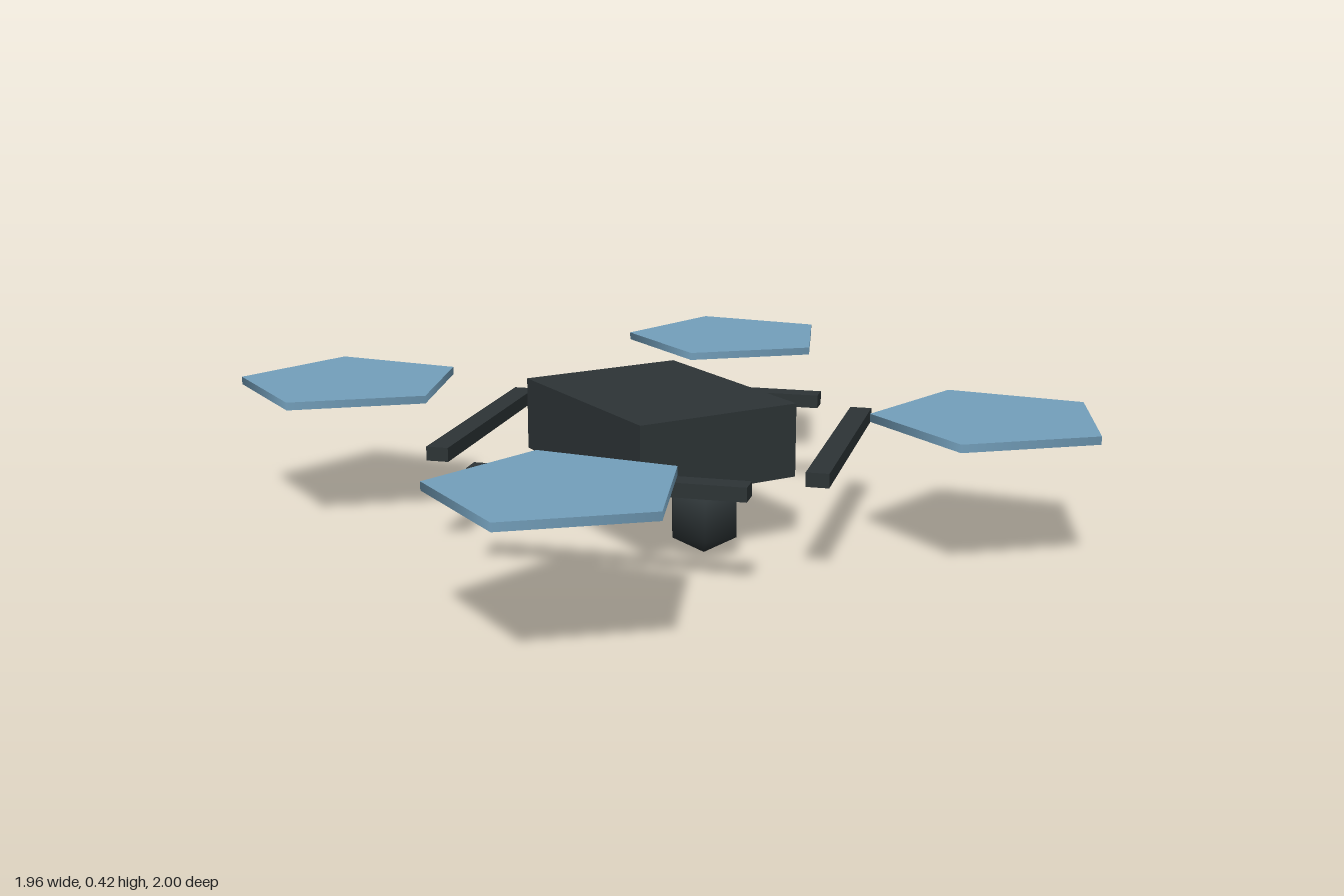
import * as THREE from 'three';

export function createModel() {
  const group = new THREE.Group();
  const charcoal = new THREE.MeshStandardMaterial({ color: 0x2d3436 });
  charcoal.name = 'charcoal';
  const paleBlue = new THREE.MeshStandardMaterial({ color: 0x74a0bc });
  paleBlue.name = 'paleBlue';

  const cx = -0.034; // the airframe sits slightly off centre
  const add = (name, geometry, material, x, y, z) => {
    const mesh = new THREE.Mesh(geometry, material);
    mesh.name = name;
    mesh.position.set(x, y, z);
    group.add(mesh);
    return mesh;
  };

  // Central body
  add('body', new THREE.BoxGeometry(0.506, 0.213, 0.675), charcoal, cx, 0.312, -0.002);

  // Camera ball hanging under the nose
  add('camera', new THREE.SphereGeometry(0.119, 6, 3), charcoal, cx, 0.119, 0.254);

  // Four diagonal arms and four five-sided rotor discs
  const armGeometry = new THREE.BoxGeometry(0.766, 0.04, 0.064);
  const rotorGeometry = new THREE.CylinderGeometry(0.337, 0.337, 0.023, 5, 1, false, Math.PI / 2);
  for (const sx of [1, -1]) {
    for (const sz of [1, -1]) {
      const label = (sz > 0 ? 'front' : 'back') + (sx > 0 ? 'Left' : 'Right');
      const arm = add(label + 'Arm', armGeometry, charcoal, cx + sx * 0.378, 0.291, sz * 0.38 - 0.002);
      arm.rotation.y = sx * sz * Math.PI / 4;
      add(label + 'Rotor', rotorGeometry, paleBlue, cx + sx * 0.677, 0.388, sz * 0.677 - 0.002);
    }
  }
  return group;
}
